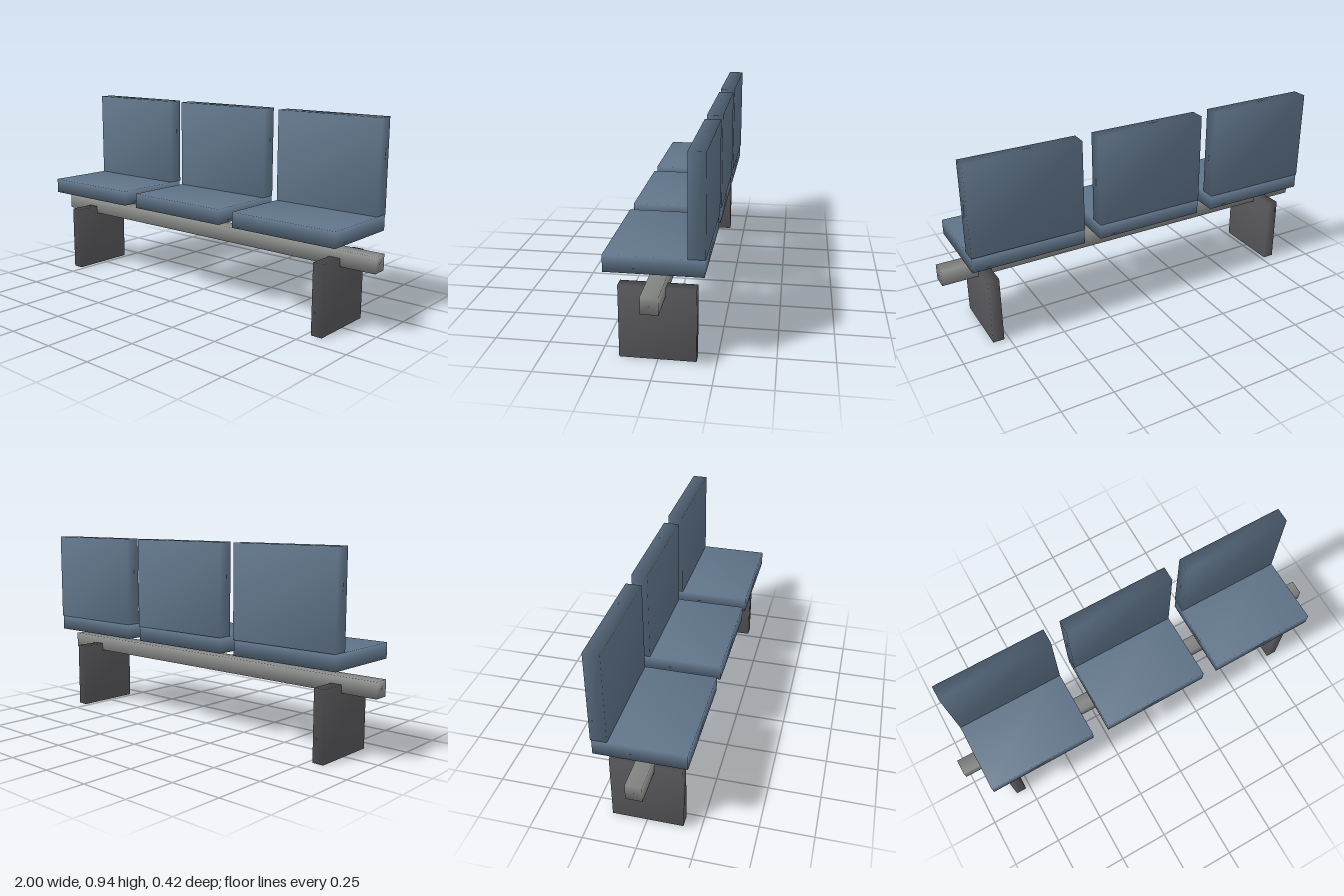
import * as THREE from 'three';
import { mergeVertices } from 'three/addons/utils/BufferGeometryUtils.js';

const material = (color) => new THREE.MeshStandardMaterial({ color });

// Box with shared corners, so the shading runs smoothly over its edges
function softBox(name, size, position, mat) {
  let geometry = new THREE.BoxGeometry(...size);
  geometry.deleteAttribute('normal');
  geometry.deleteAttribute('uv');
  geometry = mergeVertices(geometry);
  geometry.computeVertexNormals();
  const mesh = new THREE.Mesh(geometry, mat);
  mesh.name = name;
  mesh.position.set(...position);
  return mesh;
}

export function createModel() {
  const model = new THREE.Group();
  model.name = 'beamBench';
  const upholstery = material(0x5f7388);
  const beamMetal = material(0x888a88);
  const legMetal = material(0x58585c);

  // Beam that carries the seats
  model.add(softBox('beam', [2, 0.075, 0.075], [0, 0.333, 0.002], beamMetal));

  // Flat panel legs
  for (const [name, side] of [['leftLeg', 1], ['rightLeg', -1]]) {
    model.add(softBox(name, [0.055, 0.333, 0.333], [side * 0.8, 0.1665, 0.002], legMetal));
  }

  // Three seats, each a cushion and an upright back
  [['rightSeat', -0.63], ['middleSeat', 0], ['leftSeat', 0.63]].forEach(([name, x]) => {
    const seat = new THREE.Group();
    seat.name = name;
    seat.position.x = x;
    seat.add(
      softBox('cushion', [0.548, 0.074, 0.415], [0, 0.462, 0.0025], upholstery),
      softBox('backrest', [0.548, 0.441, 0.074], [0, 0.7195, -0.173], upholstery)
    );
    model.add(seat);
  });

  return model;
}
